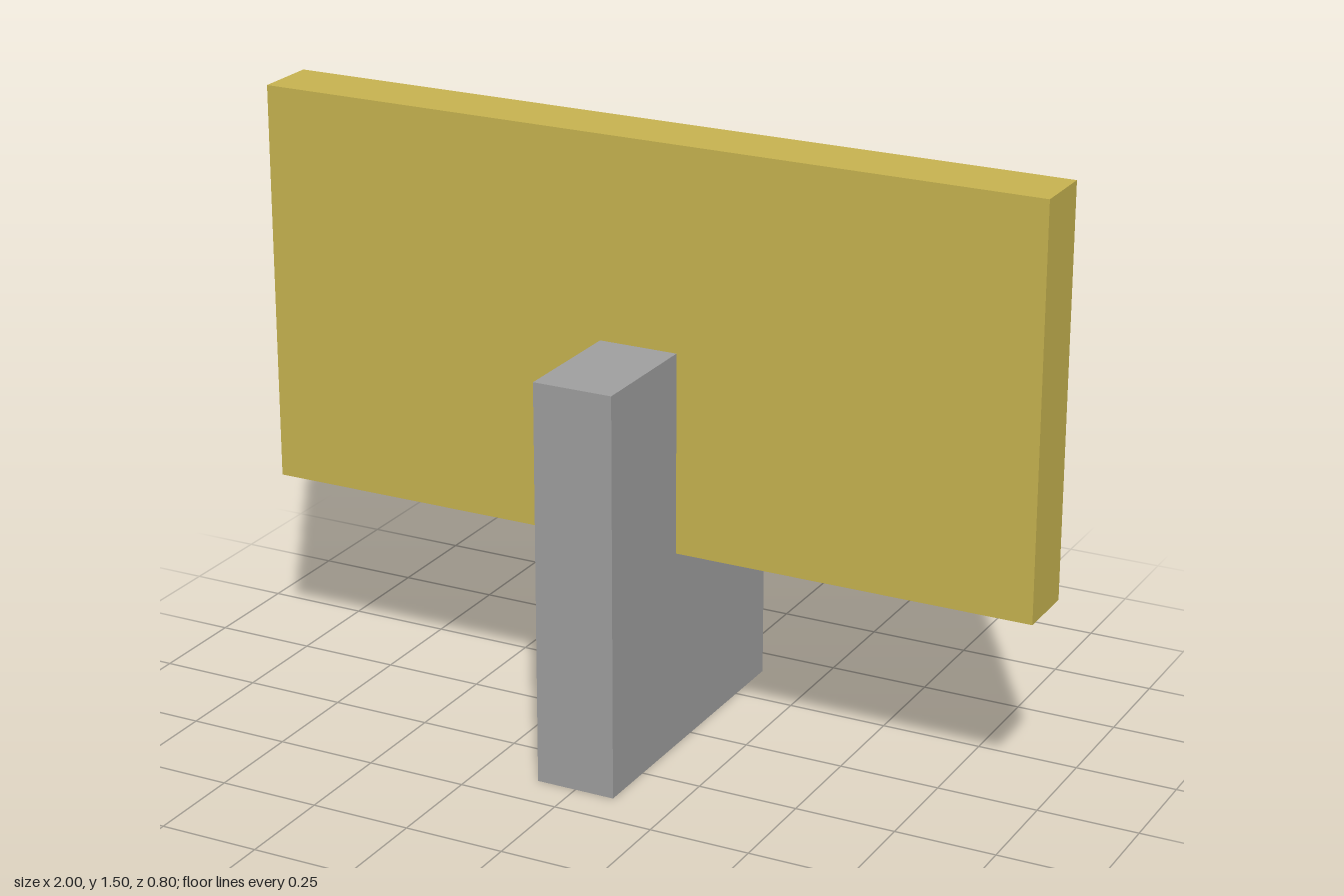
import * as THREE from 'three';

const yellow = new THREE.MeshStandardMaterial({ color: 0xc8b450 });
yellow.name = 'mustard yellow';
const grey = new THREE.MeshStandardMaterial({ color: 0xa0a0a0 });
grey.name = 'mid grey';

// Box standing with its underside at the given height
function block(name, width, height, depth, bottom, material) {
  const mesh = new THREE.Mesh(new THREE.BoxGeometry(width, height, depth), material);
  mesh.name = name;
  mesh.position.y = bottom + height / 2;
  return mesh;
}

export function createModel() {
  const model = new THREE.Group();
  model.name = 'boardOnStand';

  // Upright stand, slotted around the board
  model.add(block('stand', 0.2, 1, 0.8, 0, grey));
  // Wide board crossing the stand
  model.add(block('board', 2, 1, 0.16, 0.5, yellow));

  return model;
}
